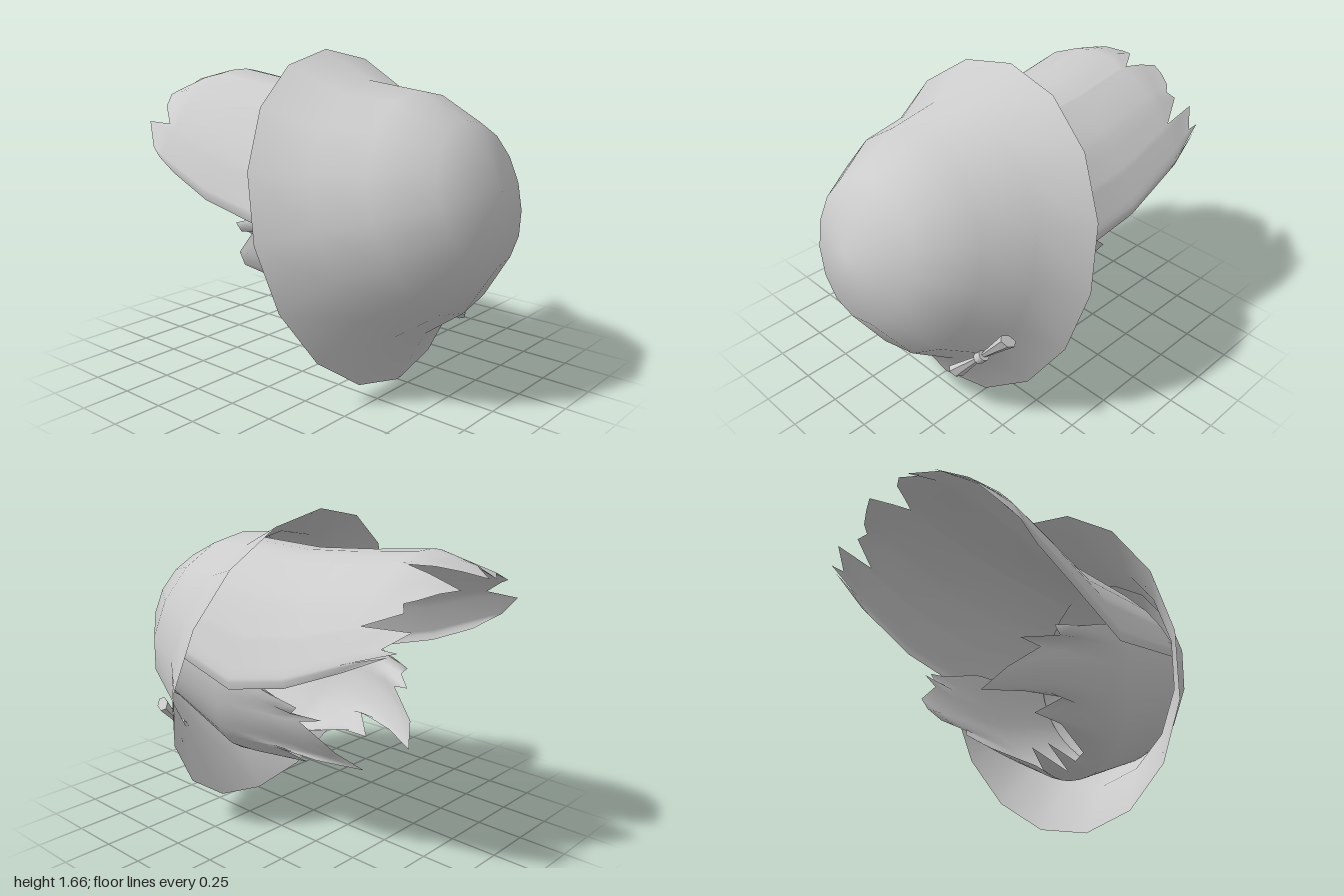
import * as THREE from 'three';

const material = new THREE.MeshStandardMaterial({ color: 0xcccccc, side: THREE.DoubleSide });

const samePoint = (p, q) => Math.hypot(p[0] - q[0], p[1] - q[1], p[2] - q[2]) < 1e-5;

// Smooth surface through rows of points
function sheet(name, rows) {
  const n = rows[0].length, index = [];
  for (let r = 0; r < rows.length - 1; r++) {
    for (let c = 0; c < n - 1; c++) {
      const a = r * n + c, b = a + n;
      index.push(a, b, a + 1, a + 1, b, b + 1);
    }
  }
  const geometry = new THREE.BufferGeometry();
  geometry.setAttribute('position', new THREE.Float32BufferAttribute(rows.flat(2), 3));
  geometry.setIndex(index);
  geometry.computeVertexNormals();
  // Share one normal where a ring closes or shrinks to a point
  const normal = geometry.attributes.normal, sum = new THREE.Vector3(), one = new THREE.Vector3();
  rows.forEach((row, r) => {
    const shared = row.map((_, c) => c).filter(c => samePoint(row[0], row[c]));
    sum.set(0, 0, 0);
    shared.forEach(c => sum.add(one.fromBufferAttribute(normal, r * n + c)));
    sum.normalize();
    shared.forEach(c => normal.setXYZ(r * n + c, sum.x, sum.y, sum.z));
  });
  const mesh = new THREE.Mesh(geometry, material);
  mesh.name = name;
  return mesh;
}

// Point on a tilted ring; angle 0 is the top, 90 the model's left
function ringPoint({ top, bottom, rx }, degrees, scale = 1) {
  const a = THREE.MathUtils.degToRad(degrees), s = Math.sin(a) * scale, c = Math.cos(a) * scale;
  return [
    rx * s,
    (top[1] + bottom[1]) / 2 + (top[1] - bottom[1]) / 2 * c,
    (top[0] + bottom[0]) / 2 + (top[0] - bottom[0]) / 2 * c,
  ];
}

// Hat rings from brim to crown, top and bottom given as [z, y]
const hatRings = [
  { top: [-0.05, 1.66], bottom: [0.44, 0], rx: 0.77 },
  { top: [0.23, 1.52], bottom: [0.6, 0.29], rx: 0.61 },
  { top: [0.52, 1.49], bottom: [0.82, 0.45], rx: 0.52 },
  { top: [0.79, 1.37], bottom: [0.99, 0.71], rx: 0.34 },
  { top: [1, 1.07], bottom: [1, 1.07], rx: 0 },
];
const around = Array.from({ length: 17 }, (_, i) => i * 22.5);

// Long hair: half arches running backwards
const arches = [
  { top: [0.52, 1.47], side: [0.67, 0.97], rx: 0.49 },
  { top: [0, 1.46], side: [0.08, 0.85], rx: 0.53 },
  { top: [-0.35, 1.49], side: [-0.35, 0.96], rx: 0.58 },
  { top: [-0.69, 1.53], side: [-0.69, 1.1], rx: 0.575 },
  { top: [-0.9, 1.48], side: [-0.88, 1.17], rx: 0.53 },
  { top: [-1, 1.43], side: [-1, 1.2], rx: 0.5 },
];
// Jagged ends: [angle, z]
const longEnds = [
  [-100, -0.6], [-90, -0.71], [-82, -0.78], [-62, -0.91], [-57, -0.73], [-46, -0.86],
  [-31, -0.97], [-29, -0.91], [-13, -1], [-11, -0.9], [-6, -1], [5, -0.93], [12, -0.83],
  [18, -0.73], [19, -1], [29, -0.95], [38, -0.9], [42, -0.85], [48, -0.88], [57, -0.72],
  [60, -0.96], [75, -0.86], [82, -0.94], [84, -0.72], [90, -0.9], [100, -0.69],
];

// Arch with sloping shoulders, curling in past 90 degrees
function archPoint(arch, degrees) {
  const a = THREE.MathUtils.degToRad(degrees), c = Math.cos(a);
  const rise = Math.sign(c) * Math.abs(c) ** 1.6;
  return [
    arch.rx * Math.sin(a),
    THREE.MathUtils.lerp(arch.side[1], arch.top[1], rise),
    THREE.MathUtils.lerp(arch.side[0], arch.top[0], rise),
  ];
}

const mix = (p, q, t) => p.map((v, i) => v + (q[i] - v) * t);

function longHair() {
  const rows = arches.slice(0, 3).map(arch => longEnds.map(([angle]) => archPoint(arch, angle)));
  // The last stretch follows the arches and stops at each jagged end
  for (const part of [0, 0.5, 1]) {
    rows.push(longEnds.map(([angle, z]) => {
      const start = Math.max(-0.69, z + 0.06);
      const target = start + (z - start) * part;
      const points = arches.slice(2).map(arch => archPoint(arch, angle));
      let i = 0;
      while (i < 2 && target < points[i + 1][2]) i++;
      const [p, q] = [points[i], points[i + 1]];
      return mix(p, q, (target - p[2]) / (q[2] - p[2]));
    }));
  }
  return sheet('longHair', rows);
}

// Fringe ends on the left side: [root angle, x, y, z]
const fringeEnds = [
  [84, 0.47, 0.84, -0.1], [92, 0.44, 0.79, -0.3], [97, 0.44, 0.75, -0.26],
  [101, 0.37, 0.73, -0.4], [106, 0.41, 0.71, -0.29], [112, 0.33, 0.57, -0.45],
  [118, 0.2, 0.46, -0.52], [125, 0.32, 0.49, -0.32], [132, 0.37, 0.52, -0.09],
  [139, 0.26, 0.43, -0.2], [147, 0.28, 0.42, -0.02], [158, 0.18, 0.36, 0.25],
  [166, 0.12, 0.32, 0.24], [172, 0.06, 0.39, 0.08], [180, 0, 0.3, 0.3],
];

function fringe() {
  const left = fringeEnds.map(([angle, ...end]) => ({ angle, end }));
  // The right side sweeps further inwards
  const right = left.slice(0, -1).reverse().map(({ angle, end: [x, y, z] }) => (
    { angle: 360 - angle, end: [-x * (angle < 100 ? 0.95 : 0.78), y, z] }
  ));
  const strands = [...left, ...right];
  const inner = { top: [0.52, 1.47], bottom: [0.82, 0.47], rx: 0.48 };
  const root = { top: [0, 1.46], bottom: [0.4, 0.28], rx: 0.48 };
  const rows = [strands.map(s => ringPoint(inner, s.angle))];
  for (let i = 0; i <= 5; i++) {
    const t = i / 5;
    rows.push(strands.map(({ angle, end }) => {
      const start = ringPoint(root, angle);
      // Strands run straight back, then curl inwards
      const bend = [start[0], start[1], (start[2] + end[2]) / 2];
      return mix(mix(start, bend, t), mix(bend, end, t), t);
    }));
  }
  return sheet('fringe', rows);
}

// Small bow: two flattened flaring loops and a knot
function bow() {
  const group = new THREE.Group();
  group.name = 'bow';
  for (const side of [1, -1]) {
    const loop = new THREE.Mesh(new THREE.CylinderGeometry(0.046, 0.016, 0.2, 6).toNonIndexed(), material);
    loop.geometry.computeVertexNormals();
    loop.name = 'bowLoop';
    loop.scale.z = 0.65;
    loop.position.y = side * 0.125;
    if (side < 0) loop.rotation.z = Math.PI;
    group.add(loop);
  }
  const knot = new THREE.Mesh(new THREE.CylinderGeometry(0.03, 0.03, 0.05, 8), material);
  knot.name = 'bowKnot';
  group.add(knot);
  group.position.set(0.435, 0.475, 0.58);
  const along = new THREE.Vector3(0.29, 0.33, -0.07).normalize();
  const out = new THREE.Vector3(0.6, -0.4, 0.7);
  out.addScaledVector(along, -out.dot(along)).normalize();
  const across = new THREE.Vector3().crossVectors(along, out);
  group.quaternion.setFromRotationMatrix(new THREE.Matrix4().makeBasis(across, along, out));
  return group;
}

export function createModel() {
  const model = new THREE.Group();
  model.name = 'hatWithHair';
  model.add(sheet('hat', hatRings.map(ring => around.map(a => ringPoint(ring, a)))));
  // Hair cap lining the crown
  const cap = sheet('hairCap', hatRings.slice(2).map(ring => around.map(a => ringPoint(ring, a, 0.98))));
  cap.position.z = -0.012;
  model.add(cap, longHair(), fringe(), bow());
  return model;
}
